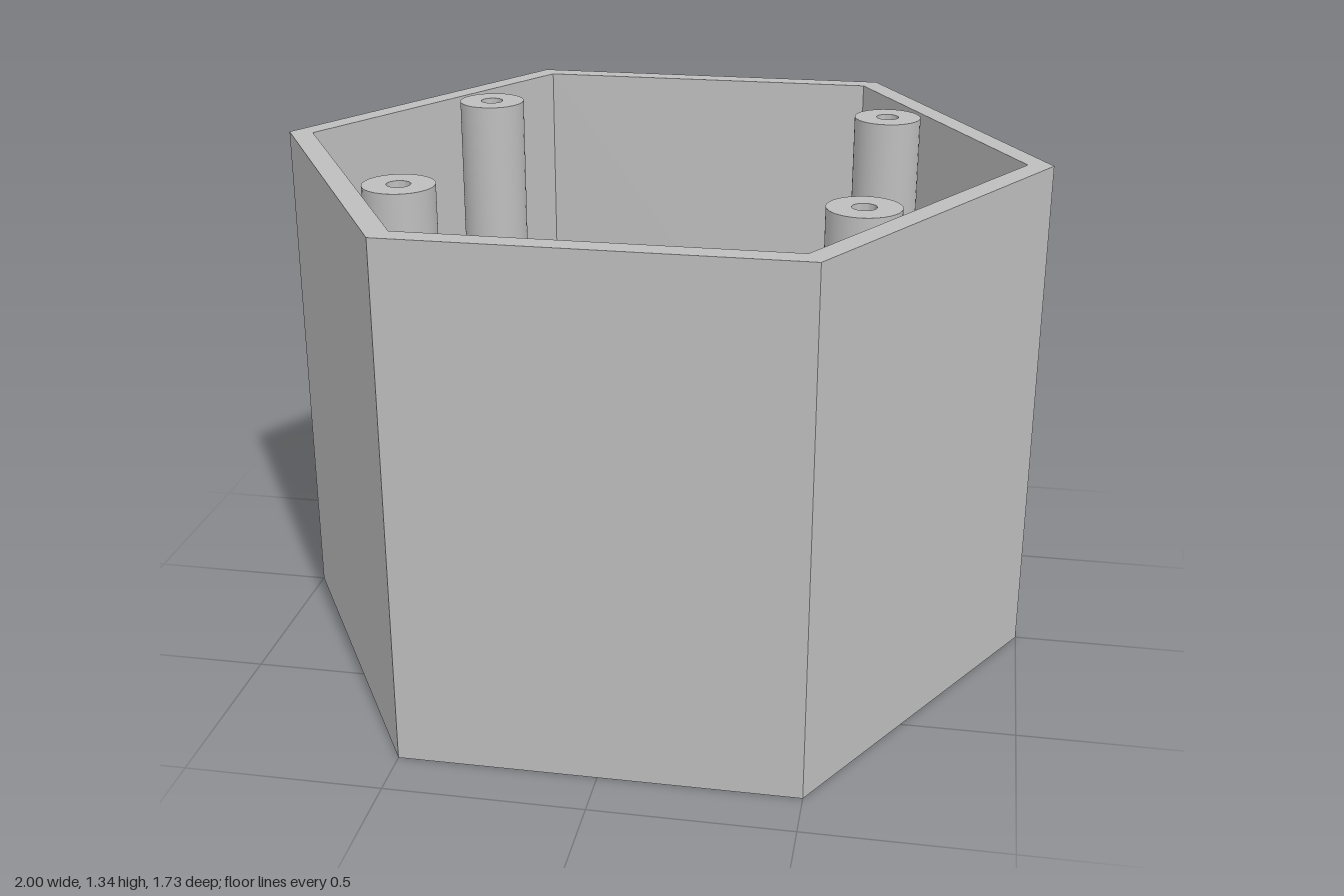
import * as THREE from 'three';
import { toCreasedNormals } from 'three/addons/utils/BufferGeometryUtils.js';

const H = 1.34, FLOOR = 0.06, R_IN = 0.935;      // hexagonal shell
const BORE = 0.345, COLLAR = 0.44, COLLAR_H = 0.34; // central collar
const PANEL = 0.05;                               // half width of the drilled collar panels

export function createModel() {
  const group = new THREE.Group();
  const grey = new THREE.MeshStandardMaterial({ color: 0xbebebe });
  grey.name = 'grey plastic';

  const add = (name, geo, x = 0, y = 0, z = 0) => {
    const mesh = new THREE.Mesh(geo, grey);
    mesh.name = name;
    mesh.position.set(x, y, z);
    group.add(mesh);
    return mesh;
  };
  const crease = (geo) => toCreasedNormals(geo, 0.6);
  const lathe = (pts, sides, start = 0) =>
    crease(new THREE.LatheGeometry(pts.map((p) => new THREE.Vector2(...p)), sides, start));
  // extrude a plan shape upwards
  const rise = (shape, depth) =>
    crease(new THREE.ExtrudeGeometry(shape, { depth, bevelEnabled: false, curveSegments: 32 }).rotateX(-Math.PI / 2));

  // hexagonal wall: outside, rim and inside
  add('hexagonWall', lathe([[1, 0], [1, H], [R_IN, H], [R_IN, FLOOR]], 6, Math.PI / 2));

  // floor faces with the round opening
  const hexPlate = (r) => {
    const shape = new THREE.Shape();
    for (let i = 0; i < 6; i++) {
      const a = i * Math.PI / 3;
      shape[i ? 'lineTo' : 'moveTo'](r * Math.cos(a), r * Math.sin(a));
    }
    shape.holes.push(new THREE.Path().absarc(0, 0, BORE, 0, Math.PI * 2, true));
    return new THREE.ShapeGeometry(shape, 64);
  };
  add('floorTop', hexPlate(R_IN).rotateX(-Math.PI / 2), 0, FLOOR, 0);
  add('floorUnderside', hexPlate(1).rotateX(Math.PI / 2));

  // collar: two long arcs, joined by drilled panels on the left and right
  const base = 0.001;
  const ao = Math.asin(PANEL / COLLAR), ai = Math.asin(PANEL / BORE);
  const arc = new THREE.Shape();
  arc.absarc(0, 0, COLLAR, ao, Math.PI - ao, false);
  arc.absarc(0, 0, BORE, Math.PI - ai, ai, true);
  arc.closePath();

  const panelShape = new THREE.Shape();
  panelShape.moveTo(-PANEL, base);
  panelShape.lineTo(PANEL, base);
  panelShape.lineTo(PANEL, COLLAR_H);
  panelShape.lineTo(-PANEL, COLLAR_H);
  panelShape.closePath();
  panelShape.holes.push(new THREE.Path().absarc(0, 0.22, 0.04, 0, Math.PI * 2, true));
  const panel = new THREE.ExtrudeGeometry(panelShape, { depth: COLLAR - BORE, bevelEnabled: false, curveSegments: 16 });
  const p = panel.attributes.position;
  for (let i = 0; i < p.count; i++) {   // bend the panel round the bore
    const u = p.getX(i), r = BORE + p.getZ(i);
    p.setXYZ(i, Math.sqrt(r * r - u * u), p.getY(i), -u);
  }
  const panelGeo = crease(panel);
  const arcGeo = rise(arc, COLLAR_H - base);
  for (const turn of [0, Math.PI]) {
    add('collarArc', arcGeo, 0, base, 0).rotation.y = turn;
    add('collarDrilledPanel', panelGeo).rotation.y = turn;
  }

  // screw posts with blind holes, and short slotted pegs
  const post = lathe([[0.09, FLOOR], [0.09, H], [0.03, H], [0.03, H - 0.4], [0, H - 0.4]], 32);
  const pegR = 0.07, slot = 0.025, pegMid = 0.17, pegTop = 0.27;
  const pegBase = lathe([[pegR, FLOOR], [pegR, pegMid], [0, pegMid]], 32);
  const half = Math.acos(slot / pegR);
  const prong = rise(new THREE.Shape().absarc(0, 0, pegR, -half, half, false), pegTop - pegMid);
  for (const sx of [-1, 1]) {
    for (const sz of [-1, 1]) {
      add('screwPost', post, sx * 0.56, 0, sz * 0.44);
      add('pegBase', pegBase, sx * 0.4, 0, sz * 0.4);
      for (const turn of [0, Math.PI])
        add('pegProng', prong, sx * 0.4, pegMid, sz * 0.4).rotation.y = turn;
    }
  }
  return group;
}
